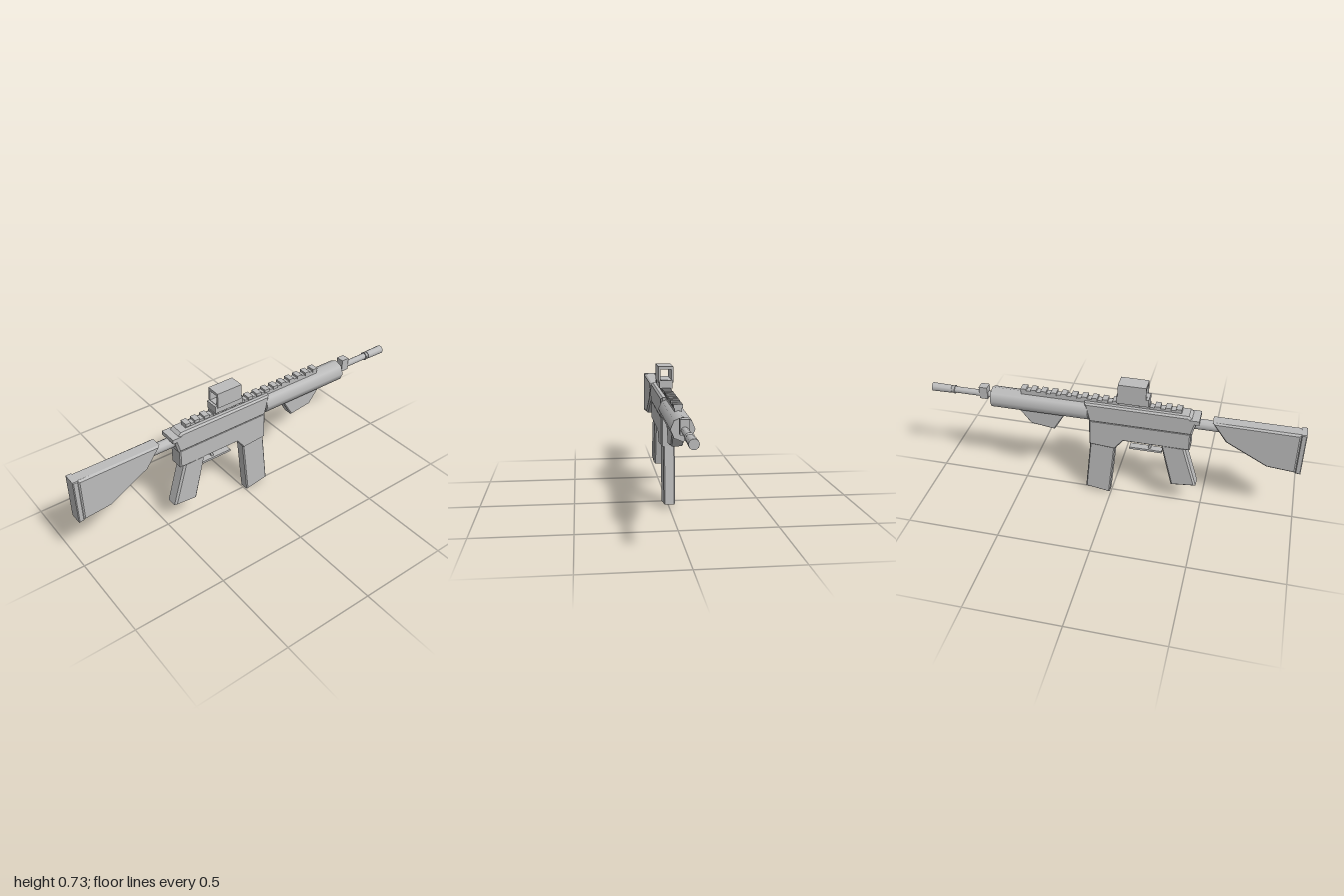
import * as THREE from 'three';

const grey = new THREE.MeshStandardMaterial({ color: 0xbcbcbc });
grey.name = 'plain grey';

export function createModel() {
  const model = new THREE.Group();

  function add(name, geometry, parent = model) {
    const mesh = new THREE.Mesh(geometry, grey);
    mesh.name = name;
    parent.add(mesh);
    return mesh;
  }

  // Side outline (x, y) extruded symmetrically in z, with chamfered edges
  function plate(name, points, half, bevel = 0.01) {
    const shape = new THREE.Shape(points.map(([x, y]) => new THREE.Vector2(x, y)));
    const geometry = new THREE.ExtrudeGeometry(shape, {
      depth: 2 * (half - bevel), bevelEnabled: bevel > 0, bevelSegments: 1,
      bevelThickness: bevel, bevelSize: bevel, bevelOffset: -bevel,
    });
    geometry.translate(0, 0, bevel - half);
    return add(name, geometry);
  }

  // Box given by its x and y ranges and half width in z
  function block(name, x0, x1, y0, y1, half, parent) {
    const geometry = new THREE.BoxGeometry(x1 - x0, y1 - y0, 2 * half);
    geometry.translate((x0 + x1) / 2, (y0 + y1) / 2, 0);
    return add(name, geometry, parent);
  }

  // Round part lying along x
  function rod(name, x0, x1, y, r0, r1, sides) {
    const geometry = new THREE.CylinderGeometry(r0, r1, x1 - x0, sides);
    geometry.rotateZ(Math.PI / 2);
    geometry.translate((x0 + x1) / 2, y, 0);
    return add(name, geometry);
  }

  // Stock with butt pad and connecting tube
  plate('stock', [[-0.975, 0.332], [-0.825, 0.345], [-0.605, 0.465], [-0.53, 0.575], [-0.975, 0.575]], 0.038);
  plate('buttPad', [[-1, 0.33], [-0.972, 0.332], [-0.972, 0.577], [-1, 0.577]], 0.038, 0.004);
  rod('stockTube', -0.6, -0.43, 0.535, 0.029, 0.029, 10);

  // Receiver
  plate('upperReceiver', [[-0.43, 0.485], [0.115, 0.485], [0.14, 0.598], [-0.41, 0.598], [-0.45, 0.56]], 0.046);
  plate('lowerReceiver', [[-0.425, 0.385], [-0.07, 0.385], [-0.025, 0.326], [0.115, 0.337], [0.115, 0.492], [-0.425, 0.492]], 0.042, 0.006);
  block('chargingHandle', -0.465, -0.415, 0.56, 0.583, 0.05);

  // Grip, magazine and trigger
  plate('pistolGrip', [[-0.47, 0.145], [-0.335, 0.13], [-0.27, 0.395], [-0.396, 0.395]], 0.038);
  plate('magazine', [[0.007, 0.005], [0.142, 0.027], [0.112, 0.35], [-0.025, 0.35]], 0.03, 0.006);
  block('triggerGuard', -0.275, -0.1, 0.325, 0.337, 0.02);
  plate('trigger', [[-0.213, 0.335], [-0.2, 0.338], [-0.213, 0.39], [-0.228, 0.39]], 0.008, 0);

  // Handguard and foregrip
  rod('handguard', 0.12, 0.655, 0.537, 0.057, 0.057, 8);
  plate('foregrip', [[0.31, 0.392], [0.44, 0.41], [0.505, 0.495], [0.25, 0.495]], 0.03, 0.006);

  // Barrel, front sight and muzzle
  rod('barrel', 0.64, 0.89, 0.545, 0.018, 0.018, 10);
  rod('muzzleCollar', 0.87, 0.89, 0.545, 0.024, 0.018, 10);
  rod('muzzle', 0.89, 1, 0.545, 0.022, 0.024, 10);
  block('frontSight', 0.68, 0.725, 0.525, 0.595, 0.022);

  // Top rail with evenly spaced teeth
  const rail = new THREE.Group();
  rail.name = 'topRail';
  model.add(rail);
  block('railBase', -0.37, 0.49, 0.585, 0.61, 0.018, rail);
  for (let i = 0; i < 16; i++) {
    const x = -0.37 + i * 0.0553;
    block('railTooth', x, x + 0.03, 0.604, 0.622, 0.023, rail);
  }

  // Optic: base and housing open along x
  block('opticBase', -0.2, -0.03, 0.62, 0.662, 0.035);
  const frame = new THREE.Shape([
    new THREE.Vector2(-0.04, 0.65), new THREE.Vector2(0.04, 0.65),
    new THREE.Vector2(0.04, 0.735), new THREE.Vector2(-0.04, 0.735),
  ]);
  frame.holes.push(new THREE.Path([
    new THREE.Vector2(-0.029, 0.664), new THREE.Vector2(-0.029, 0.72),
    new THREE.Vector2(0.029, 0.72), new THREE.Vector2(0.029, 0.664),
  ]));
  const housing = new THREE.ExtrudeGeometry(frame, { depth: 0.147, bevelEnabled: false });
  housing.rotateY(Math.PI / 2);
  housing.translate(-0.187, 0, 0);
  add('opticHousing', housing);

  return model;
}
